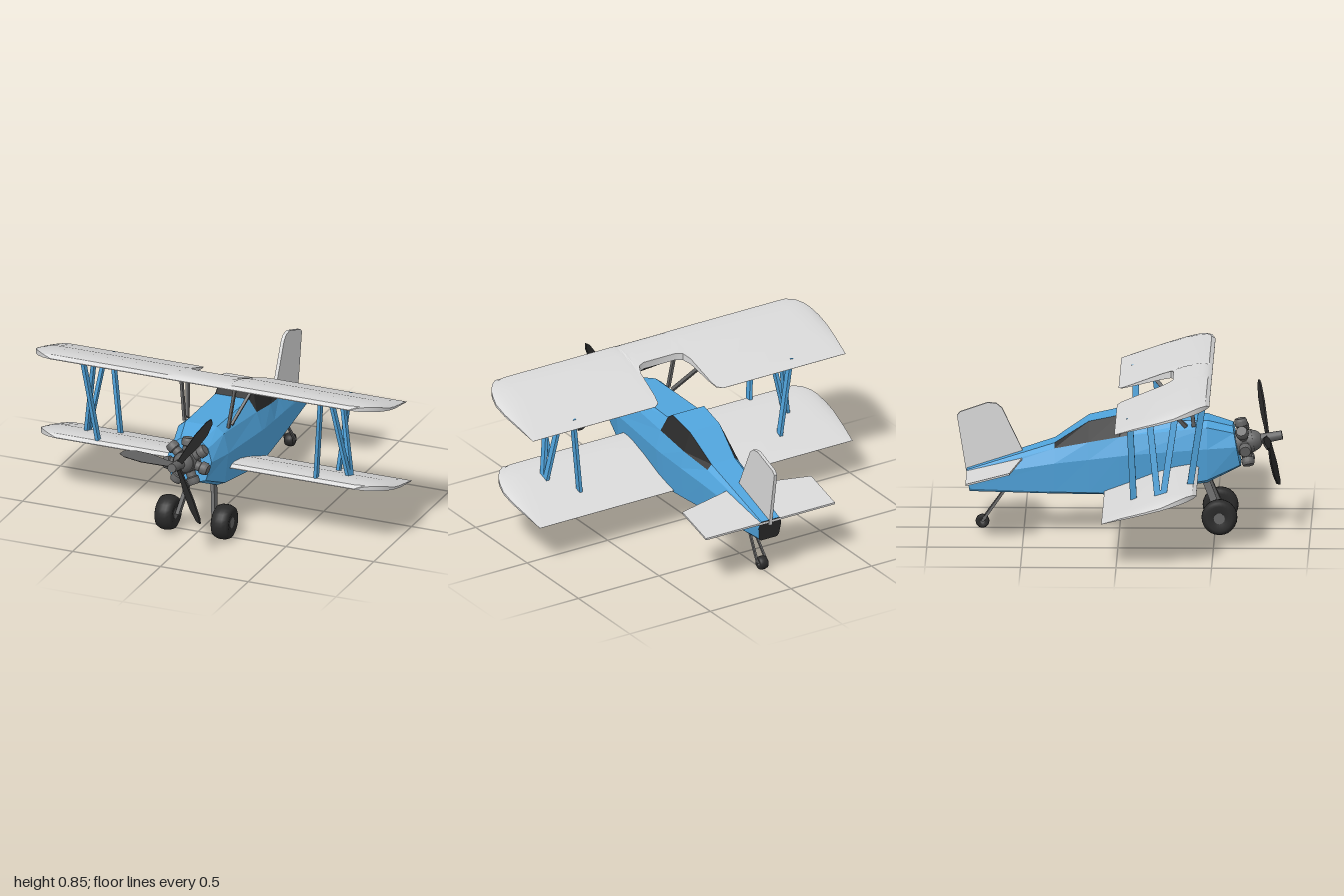
import * as THREE from 'three';
import { toCreasedNormals } from 'three/addons/utils/BufferGeometryUtils.js';

const mat = (name, color, side = THREE.FrontSide) => {
  const m = new THREE.MeshStandardMaterial({ color, side });
  m.name = name;
  return m;
};
const V = (x, y, z) => new THREE.Vector3(x, y, z);

// Skin closed loops of points; pick(i, j) gives the material index of each panel
function loft(loops, pick = () => 0, backCap = 0) {
  const tris = [];
  const n = loops[0].length;
  loops.slice(0, -1).forEach((A, i) => {
    const B = loops[i + 1];
    for (let j = 0; j < n; j++) {
      const k = (j + 1) % n;
      tris.push([pick(i, j), A[j], B[k], A[k]], [pick(i, j), A[j], B[j], B[k]]);
    }
  });
  const F = loops[0], R = loops[loops.length - 1];
  for (let j = 1; j < n - 1; j++) {
    tris.push([0, F[0], F[j], F[j + 1]], [backCap, R[0], R[j + 1], R[j]]);
  }
  tris.sort((a, b) => a[0] - b[0]);
  const g = new THREE.BufferGeometry().setFromPoints(tris.flatMap(t => t.slice(1)));
  const split = tris.filter(t => t[0] === 0).length * 3;
  g.addGroup(0, split, 0);
  g.addGroup(split, tris.length * 3 - split, 1);
  g.computeVertexNormals();
  return g;
}

export function createModel() {
  const blue = mat('blue paint', 0x50a4dc);
  const pale = mat('pale grey fabric', 0xd8d8d8);
  const black = mat('black', 0x2a2a2a);
  const metal = mat('dark metal', 0x646464);
  const plane = new THREE.Group();
  plane.name = 'biplane';

  const add = (name, geo, material, parent = plane) => {
    const m = new THREE.Mesh(geo, material);
    m.name = name;
    parent.add(m);
    return m;
  };
  // Bar between two points, w wide across and d deep fore and aft
  const bar = (name, a, b, w, d, material) => {
    const m = add(name, new THREE.BoxGeometry(w, d, a.distanceTo(b)), material);
    m.up.set(0, 0, 1);
    m.position.copy(a).lerp(b, 0.5);
    m.lookAt(b);
  };

  // Fuselage: z, tilt, then half width and height of top, shoulder, middle, low side, bottom
  const sections = [
    [0.615, 0.19, 0.06, 0.56, 0.1, 0.53, 0.125, 0.46, 0.1, 0.36, 0.05, 0.345],
    [0.46, 0, 0.09, 0.597, 0.13, 0.565, 0.155, 0.455, 0.135, 0.285, 0.09, 0.265],
    [0.05, 0, 0.095, 0.59, 0.14, 0.525, 0.17, 0.425, 0.145, 0.215, 0.1, 0.2],
    [0, 0, 0.098, 0.625, 0.137, 0.515, 0.167, 0.418, 0.143, 0.215, 0.1, 0.2],
    [-0.16, 0, 0.092, 0.59, 0.128, 0.485, 0.15, 0.395, 0.13, 0.215, 0.09, 0.2],
    [-0.34, 0, 0.072, 0.47, 0.098, 0.445, 0.13, 0.37, 0.112, 0.215, 0.08, 0.2],
    [-0.817, 0.13, 0.055, 0.32, 0.062, 0.31, 0.07, 0.285, 0.062, 0.22, 0.05, 0.205],
  ];
  const loops = sections.map(([z, tilt, ...p]) => {
    const side = [0, 2, 4, 6, 8].map(i => V(p[i], p[i + 1], z - tilt * (p[i + 1] - 0.45)));
    const other = side.map(v => V(-v.x, v.y, v.z));
    return [side[0], ...other, ...side.slice(1).reverse()];
  });
  // Windscreen and side windows are the dark panels
  const glazed = (i, j) => ((i === 2 && j === 0) || (i >= 2 && i <= 4 && (j === 1 || j === 9)) ? 1 : 0);
  add('fuselage', loft(loops, glazed, 1), [blue, black]);

  // Wings: half stations are x, leading z, trailing z, thickness factor
  const foil = [[0, 0.004], [0.04, 0.024], [0.12, 0.035], [0.25, 0.041], [0.45, 0.037], [0.7, 0.021], [1, 0.001]];
  const thick = u => {
    const i = Math.max(1, foil.findIndex(f => f[0] >= u - 1e-6));
    const [a, b] = [foil[i - 1], foil[i]];
    return a[1] + ((b[1] - a[1]) * (u - a[0])) / (b[0] - a[0]);
  };
  const tip = [[0.85, 0.485, -0.01, 1], [0.9, 0.468, -0.01, 0.95], [0.94, 0.435, -0.01, 0.85],
    [0.97, 0.395, -0.01, 0.7], [0.985, 0.36, 0.1, 0.55], [1, 0.3, 0.22, 0.35]];
  const cutout = [[0.1, 0.485, 0.28, 1], [0.135, 0.485, 0.265, 1], [0.155, 0.485, 0.22, 1],
    [0.17, 0.485, 0.06, 1], [0.18, 0.485, 0.01, 1], [0.21, 0.485, -0.01, 1]];
  const wing = (name, inner, dy, dz) => {
    const half = [...inner, ...tip];
    const all = [...half].reverse().concat(half.map(([x, ...r]) => [-x, ...r]));
    const ribs = all.map(([x, lead, trail, k]) => {
      const at = (t, top) => {
        const z = lead + (trail - lead) * t;
        const u = Math.min(1, Math.max(0, (0.485 - z) / 0.495));
        return V(x, 0.83 - 0.127 * u + top * k * thick(u) + dy, z + dz);
      };
      return [...foil.map(f => at(f[0], 0)), ...foil.map(f => at(f[0], 1)).reverse()];
    });
    add(name, toCreasedNormals(loft(ribs), 0.5), [pale, pale]);
  };
  wing('upperWing', cutout, 0, 0);
  wing('lowerWing', [[0.1, 0.485, -0.01, 1]], -0.478, -0.068);

  // Struts and landing gear on both sides
  for (const s of [1, -1]) {
    const P = (x, y, z) => V(s * x, y, z);
    [[0.45, 0.825, 0.62, 0.38], [0.31, 0.79, 0.75, 0.24], [0.165, 0.755, 0.75, 0.215], [0.065, 0.73, 0.62, 0.085]]
      .forEach(([zt, yt, xb, zb]) => bar('wingStrut', P(0.675, yt, zt), P(xb, 0.235 + 0.27 * (zb + 0.07), zb), 0.018, 0.034, blue));
    bar('cabaneStrut', P(0.155, 0.805, 0.365), P(0.125, 0.57, 0.39), 0.014, 0.02, metal);
    bar('cabaneStrut', P(0.195, 0.755, 0.185), P(0.125, 0.57, 0.35), 0.014, 0.02, metal);
    bar('gearLeg', P(0.065, 0.29, 0.445), P(0.105, 0.09, 0.525), 0.02, 0.038, metal);
    bar('tailWheelLeg', P(0.01, 0.22, -0.59), P(0.028, 0.037, -0.72), 0.01, 0.014, metal);
  }

  // Wheels: rounded tyre turned around x, with a small hub
  const wheel = (name, x, y, z, r, w) => {
    const pts = [[0.3, -0.42], [0.7, -0.5], [0.88, -0.42], [0.98, -0.2], [1, 0], [0.98, 0.2], [0.88, 0.42], [0.7, 0.5], [0.3, 0.42]]
      .map(([a, b]) => new THREE.Vector2(a * r, b * w));
    const g = new THREE.Group();
    g.name = name;
    g.position.set(x, y, z);
    g.rotation.z = Math.PI / 2;
    add('tyre', new THREE.LatheGeometry(pts, 24), black, g);
    add('wheelHub', new THREE.CylinderGeometry(r * 0.31, r * 0.31, w * 0.88, 16), metal, g);
    plane.add(g);
  };
  wheel('leftWheel', 0.16, 0.094, 0.525, 0.094, 0.1);
  wheel('rightWheel', -0.16, 0.094, 0.525, 0.094, 0.1);
  wheel('tailWheel', 0, 0.036, -0.718, 0.036, 0.05);

  // Flat plate from an outline
  const plate = (outline, depth) => new THREE.ExtrudeGeometry(
    new THREE.Shape(outline.map(p => new THREE.Vector2(...p))), { depth, bevelEnabled: false },
  ).translate(0, 0, -depth / 2);

  // Fin: outline in (-z, y)
  const fin = plate([[0.505, 0.39], [0.8, 0.29], [0.806, 0.32], [0.852, 0.6], [0.835, 0.62], [0.69, 0.67],
    [0.645, 0.665], [0.615, 0.64], [0.505, 0.41]], 0.018);
  add('fin', fin.rotateY(Math.PI / 2), pale);

  // Tailplane: outline in (x, -z), sloping down to the rear
  const tail = plate([[-0.4, 0.8], [-0.4, 0.57], [-0.09, 0.51], [0.09, 0.51], [0.4, 0.57], [0.4, 0.8]].reverse(), 0.01);
  tail.rotateX(-Math.PI / 2);
  const tp = tail.attributes.position;
  for (let i = 0; i < tp.count; i++) {
    const z = -Math.abs(tp.getZ(i));
    tp.setXYZ(i, tp.getX(i), tp.getY(i) + 0.385 + (z + 0.51) * 0.26, z);
  }
  tail.computeVertexNormals();
  add('tailplane', tail, pale);

  // Radial engine and propeller share the slightly raised thrust axis
  const engine = new THREE.Group();
  engine.name = 'engine';
  engine.position.set(0, 0.455, 0.61);
  engine.rotation.x = -0.19;
  plane.add(engine);
  add('crankcase', new THREE.CylinderGeometry(0.06, 0.065, 0.1, 20).rotateX(Math.PI / 2).translate(0, 0, 0.04), metal, engine);
  add('gearCase', new THREE.SphereGeometry(0.056, 20, 12).translate(0, 0, 0.085), metal, engine);
  add('propellerShaft', new THREE.CylinderGeometry(0.024, 0.028, 0.13, 16).rotateX(Math.PI / 2).translate(0, 0, 0.18), metal, engine);
  const barrel = [[0, 0.04], [0.026, 0.04], [0.026, 0.085], [0.034, 0.09], [0.034, 0.115], [0.028, 0.128], [0, 0.128]]
    .map(p => new THREE.Vector2(...p));
  for (let i = 0; i < 7; i++) {
    const c = add('engineCylinder', toCreasedNormals(new THREE.LatheGeometry(barrel, 14), 0.6), metal, engine);
    c.position.z = 0.045;
    c.rotation.z = (i * Math.PI * 2) / 7;
  }

  // Three pitched blades
  for (const deg of [177, 57, -63]) {
    const arm = new THREE.Group();
    arm.name = 'propellerBlade';
    arm.position.z = 0.168;
    arm.rotation.z = THREE.MathUtils.degToRad(deg);
    engine.add(arm);
    const blade = plate([[0.01, -0.014], [0.07, -0.016], [0.15, -0.029], [0.24, -0.028], [0.31, -0.012],
      [0.328, 0.008], [0.3, 0.019], [0.2, 0.026], [0.1, 0.02], [0.01, 0.014]], 0.01);
    add('blade', blade, black, arm).rotation.x = 0.5;
  }
  return plane;
}
